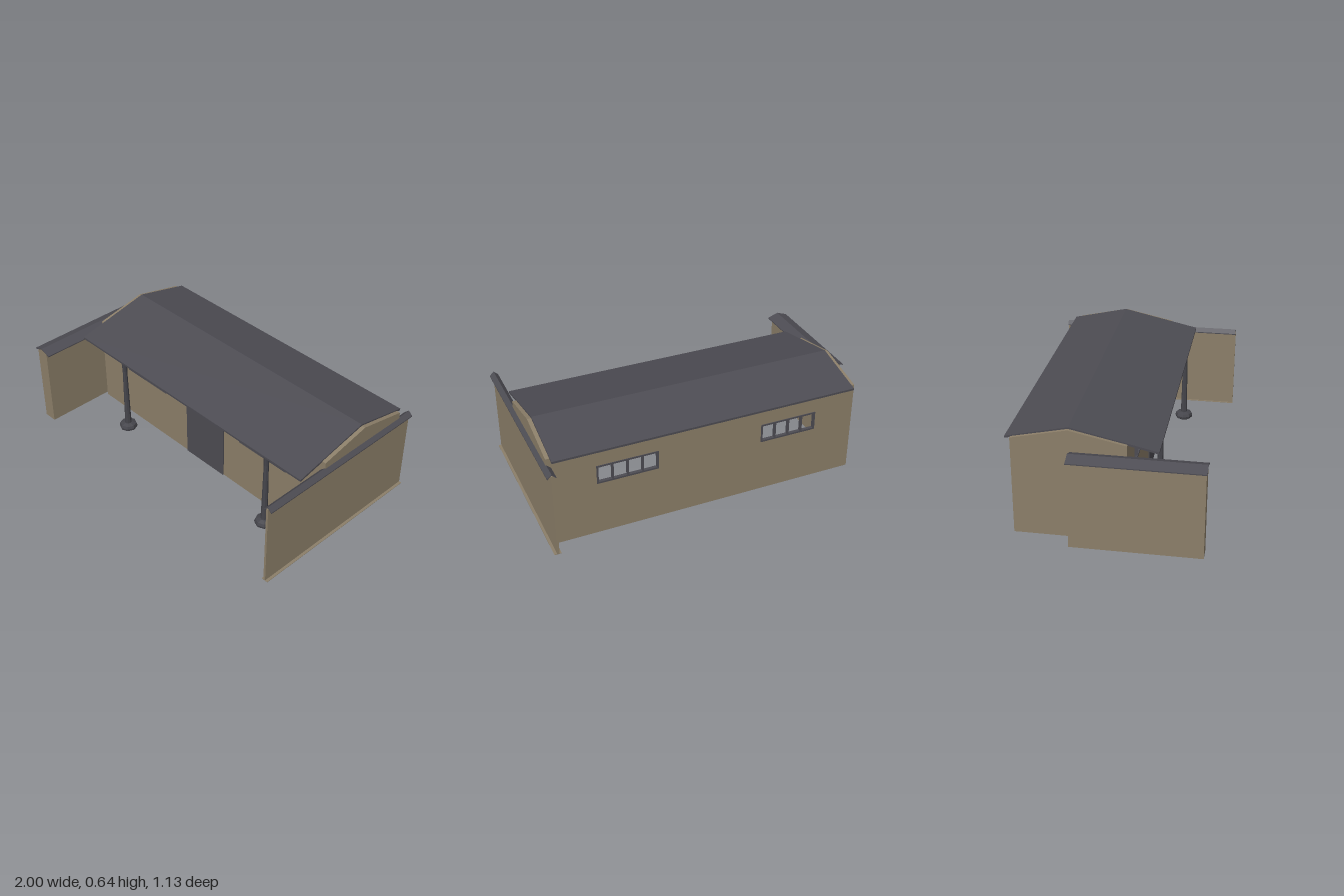
import * as THREE from 'three';

export function createModel() {
  const model = new THREE.Group();
  model.name = 'house';

  const material = (name, color, side = THREE.FrontSide) => {
    const m = new THREE.MeshStandardMaterial({ color, side });
    m.name = name;
    return m;
  };
  const wallTan = material('wall tan', 0x8c7f69);
  const roofGrey = material('roof grey', 0x4d4c53);
  const doorGrey = material('door grey', 0x4d4c52);
  const postGrey = material('post grey', 0x45454b);
  postGrey.flatShading = true;

  const add = (name, geometry, mat, parent = model) => {
    const mesh = new THREE.Mesh(geometry, mat);
    mesh.name = name;
    parent.add(mesh);
    return mesh;
  };
  // Box given by its lower and upper corners
  const box = (name, [x0, y0, z0], [x1, y1, z1], mat, parent) => {
    const mesh = add(name, new THREE.BoxGeometry(x1 - x0, y1 - y0, z1 - z0), mat, parent);
    mesh.position.set((x0 + x1) / 2, (y0 + y1) / 2, (z0 + z1) / 2);
    return mesh;
  };
  const outline = (points) => new THREE.Shape(points.map(([a, b]) => new THREE.Vector2(a, b)));
  const extrude = (shape, depth) =>
    new THREE.ExtrudeGeometry(shape, { depth, bevelEnabled: false });
  // Profile of [z, y] points drawn out along x
  const alongX = (name, points, x0, x1, mat) => {
    const geometry = extrude(outline(points.map(([z, y]) => [-z, y])), x1 - x0);
    geometry.rotateY(Math.PI / 2).translate(x0, 0, 0);
    return add(name, geometry, mat);
  };
  // Profile of [x, y] points drawn out along z
  const alongZ = (name, points, z0, z1, mat) =>
    add(name, extrude(outline(points), z1 - z0).translate(0, 0, z0), mat);

  const front = 0.14, back = -0.477, ridgeZ = -0.17;
  const windows = [[-0.627, -0.28], [0.347, 0.705]];
  const sill = 0.33, head = 0.445;

  // Long walls with see-through window openings
  const longWall = (name, z0) => {
    const shape = outline([[-0.857, 0], [0.955, 0], [0.955, 0.558], [-0.857, 0.558]]);
    for (const [x0, x1] of windows) {
      shape.holes.push(new THREE.Path([[x0, sill], [x0, head], [x1, head], [x1, sill]]
        .map(([x, y]) => new THREE.Vector2(x, y))));
    }
    add(name, extrude(shape, 0.015).translate(0, 0, z0), wallTan);
  };
  longWall('frontWall', front - 0.015);
  longWall('backWall', back);

  // Window frames, each divided into four panes
  const windowFrame = (name, x0, x1, z) => {
    const group = new THREE.Group();
    group.name = name;
    const z0 = z - 0.01, z1 = z + 0.01, t = 0.01;
    box('sill', [x0, sill, z0], [x1, sill + t, z1], roofGrey, group);
    box('head', [x0, head - t, z0], [x1, head, z1], roofGrey, group);
    for (let i = 0; i <= 4; i++) {
      const x = x0 + t / 2 + (x1 - x0 - t) * i / 4;
      box('mullion', [x - t / 2, sill, z0], [x + t / 2, head, z1], roofGrey, group);
    }
    model.add(group);
  };
  for (const [x0, x1] of windows) {
    windowFrame('frontWindow', x0, x1, front - 0.006);
    windowFrame('backWindow', x0, x1, back + 0.006);
  }

  // Gable end walls
  const gable = [[front, 0], [back, 0], [back, 0.566], [ridgeZ, 0.632], [front, 0.566]];
  alongX('rightGable', gable, -0.876, -0.857, wallTan);
  alongX('leftGable', gable, 0.955, 0.978, wallTan);

  // Pitched roof with a deep front overhang
  const slope = [[0.303, 0.535], [ridgeZ, 0.64], [-0.51, 0.564]];
  const roofProfile = [...slope, ...slope.map(([z, y]) => [z, y - 0.012]).reverse()];
  alongX('roof', roofProfile.reverse(), -0.855, 0.954, roofGrey);

  // Door
  box('door', [-0.093, 0, front], [0.22, 0.352, front + 0.006], doorGrey);

  // Side fences with small pitched caps
  const cap = (name, x, half, z0, z1) => alongZ(name, [
    [x - half, 0.507], [x - half, 0.501], [x, 0.523], [x + half, 0.501],
    [x + half, 0.507], [x, 0.53],
  ], z0, z1, roofGrey);
  alongZ('rightFence', [
    [-0.98, 0], [-0.897, 0], [-0.897, 0.51], [-0.937, 0.522], [-0.98, 0.51],
  ], -0.157, 0.558, wallTan);
  cap('rightFenceCap', -0.935, 0.065, -0.16, 0.562);
  box('leftFence', [0.966, 0, -0.567], [0.979, 0.516, 0.567], wallTan);
  box('leftFenceFoot', [0.955, 0, -0.567], [0.995, 0.003, 0.567], wallTan);
  cap('leftFenceCap', 0.975, 0.025, -0.568, 0.565);

  // Porch posts on rounded stone feet
  const profile = (points) => points.map(([r, y]) => new THREE.Vector2(r, y));
  const foot = new THREE.LatheGeometry(profile([
    [0, 0], [0.034, 0], [0.053, 0.012], [0.056, 0.026], [0.05, 0.042], [0.026, 0.05], [0, 0.05],
  ]), 8);
  const shaft = new THREE.LatheGeometry(profile([
    [0.021, 0.045], [0.019, 0.11], [0.016, 0.3], [0.014, 0.44], [0.018, 0.5], [0.017, 0.533],
  ]), 8);
  for (const x of [-0.512, 0.676]) {
    const post = new THREE.Group();
    post.name = 'porchPost';
    post.position.set(x, 0, 0.265);
    add('foot', foot, postGrey, post);
    add('shaft', shaft, postGrey, post);
    model.add(post);
  }

  return model;
}
